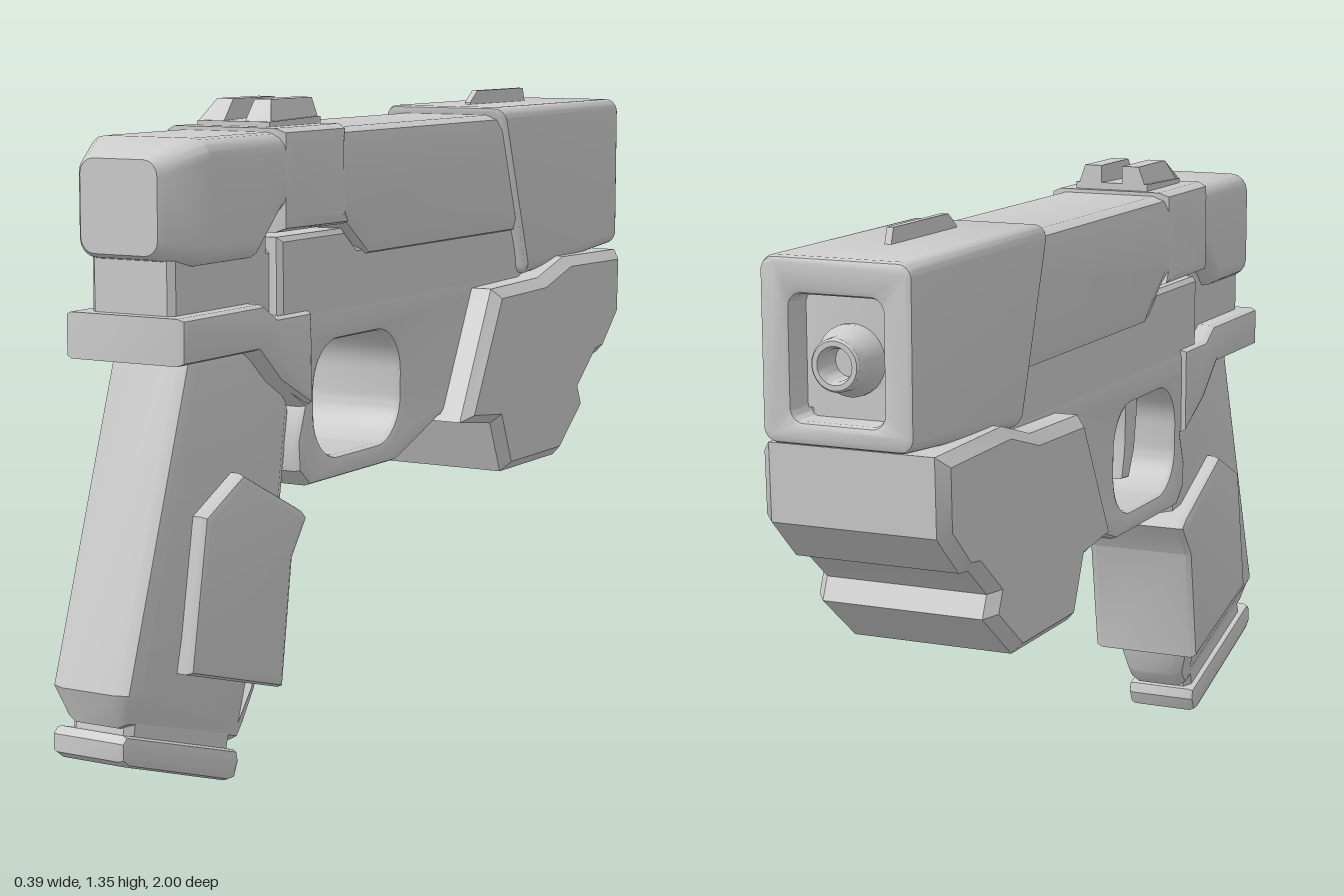
import * as THREE from 'three';
import { toCreasedNormals } from 'three/addons/utils/BufferGeometryUtils.js';

const material = new THREE.MeshStandardMaterial({ color: 0xcccccc });

function addMesh(group, name, geometry, crease = 0.6) {
  const mesh = new THREE.Mesh(toCreasedNormals(geometry, crease), material);
  mesh.name = name;
  group.add(mesh);
  return mesh;
}

// Moves every vertex by a rule
function reshape(geometry, rule) {
  const p = geometry.attributes.position;
  const v = new THREE.Vector3();
  for (let i = 0; i < p.count; i++) {
    v.fromBufferAttribute(p, i);
    rule(v);
    p.setXYZ(i, v.x, v.y, v.z);
  }
  return geometry;
}

// Side outline in [z, y], extruded across x with bevelled edges
function sideGeometry(points, half, bevel = 0, segments = 1, hole = null) {
  const shape = new THREE.Shape(points.map(([z, y]) => new THREE.Vector2(z, y)));
  if (hole) shape.holes.push(hole);
  const depth = 2 * (half - bevel);
  const geometry = new THREE.ExtrudeGeometry(shape, {
    depth, bevelEnabled: bevel > 0, bevelSize: bevel, bevelThickness: bevel,
    bevelOffset: -bevel, bevelSegments: segments, curveSegments: 8,
  });
  return geometry.translate(0, 0, -depth / 2).rotateY(-Math.PI / 2);
}

function roundedRect(path, x0, x1, y0, y1, r) {
  path.moveTo(x0 + r, y0);
  path.lineTo(x1 - r, y0);
  path.absarc(x1 - r, y0 + r, r, -Math.PI / 2, 0);
  path.lineTo(x1, y1 - r);
  path.absarc(x1 - r, y1 - r, r, 0, Math.PI / 2);
  path.lineTo(x0 + r, y1);
  path.absarc(x0 + r, y1 - r, r, Math.PI / 2, Math.PI);
  path.lineTo(x0, y0 + r);
  path.absarc(x0 + r, y0 + r, r, Math.PI, Math.PI * 1.5);
  return path;
}

// Loft through rounded rectangles [z, halfWidth, bottom, top, radius], ordered from +z to -z
function loft(sections) {
  const pos = [], index = [], n = 20;
  for (const [z, w, y0, y1, r] of sections) {
    for (let c = 0; c < 4; c++) {
      const cx = (c === 0 || c === 3 ? 1 : -1) * (w - r);
      const cy = c < 2 ? y1 - r : y0 + r;
      for (let k = 0; k < 5; k++) {
        const a = (c + k / 4) * Math.PI / 2;
        pos.push(cx + r * Math.cos(a), cy + r * Math.sin(a), z);
      }
    }
  }
  const last = (sections.length - 1) * n;
  for (let s = 0; s < last; s += n) {
    for (let i = 0; i < n; i++) {
      const j = (i + 1) % n;
      index.push(s + i, s + n + i, s + j, s + j, s + n + i, s + n + j);
    }
  }
  for (let i = 1; i < n - 1; i++) index.push(0, i, i + 1, last, last + i + 1, last + i);
  const geometry = new THREE.BufferGeometry();
  geometry.setAttribute('position', new THREE.Float32BufferAttribute(pos, 3));
  geometry.setIndex(index);
  geometry.computeVertexNormals();
  return geometry;
}

export function createModel() {
  const model = new THREE.Group();
  model.name = 'pistol';
  const side = (name, ...args) => addMesh(model, name, sideGeometry(...args));

  // Slide: tapered rear, long body, raised band and the narrower rail below
  addMesh(model, 'slideRear', loft([
    [0.876, 0.088, 1.07, 1.25, 0.03],
    [0.862, 0.1, 1.062, 1.257, 0.035],
    [0.775, 0.14, 1.045, 1.287, 0.04],
    [0.6, 0.14, 1.045, 1.287, 0.04],
    [0.515, 0.14, 1.125, 1.287, 0.04],
    [0.42, 0.14, 1.125, 1.287, 0.04],
  ]));
  side('slideBody', [[0.5, 1.287], [0.5, 1.09], [0.27, 1.09], [0.17, 1.015],
    [-0.93, 1.015], [-0.93, 1.287]], 0.14, 0.035, 2);
  side('slideBand', [[0.515, 1.295], [0.515, 1.09], [0.255, 1.09], [0.27, 1.12],
    [0.27, 1.295]], 0.148, 0.03, 2);
  side('slideRail', [[0.84, 1.1], [0.84, 0.9], [-0.93, 0.9], [-0.93, 1.06], [0.5, 1.06],
    [0.5, 1.1]], 0.095, 0.012);
  side('upperFrame', [[0.5, 1.08], [0.5, 0.9], [-0.6, 0.9], [-0.6, 1.04], [0.2, 1.04],
    [0.25, 1.08]], 0.122, 0.01);

  // Muzzle sleeve: open square front, slanted rear edge
  const section = roundedRect(new THREE.Shape(), -0.157, 0.157, 0.955, 1.305, 0.03);
  section.holes.push(roundedRect(new THREE.Path(), -0.095, 0.095, 1.0, 1.235, 0.025));
  const sleeve = new THREE.ExtrudeGeometry(section, {
    depth: 0.576, bevelSize: 0.012, bevelThickness: 0.012, bevelOffset: -0.012,
    bevelSegments: 2, curveSegments: 5,
  }).translate(0, 0, -0.983);
  addMesh(model, 'muzzleSleeve', reshape(sleeve, (v) => {
    if (v.z < -0.7) return;
    v.z -= (1.305 - v.y) * 0.38;
    if (v.y < 0.99) v.y -= 0.035;
  }));
  const barrel = [[0.068, 0.88], [0.068, 0.94], [0.052, 0.965], [0.05, 0.995], [0.046, 1.0],
    [0.036, 1.0], [0.03, 0.985], [0.03, 0.94], [0, 0.94]];
  const barrelGeometry = new THREE.LatheGeometry(barrel.map(([r, y]) => new THREE.Vector2(r, y)), 32);
  addMesh(model, 'barrel', barrelGeometry.rotateX(-Math.PI / 2).translate(0, 1.11, 0));

  // Frame with trigger guard
  const guardHole = roundedRect(new THREE.Path(), 0.02, 0.37, 0.613, 0.853, 0.095);
  side('frame', [[0.6, 0.925], [-0.6, 0.925], [-0.6, 0.7], [-0.27, 0.635], [-0.16, 0.635],
    [0.035, 0.565], [0.39, 0.565], [0.43, 0.6], [0.435, 0.66], [0.41, 0.73], [0.52, 0.795],
    [0.6, 0.865]], 0.125, 0.016, 2, guardHole);
  side('rearTang', [[0.866, 0.955], [0.58, 0.955], [0.53, 0.925], [0.4, 0.925], [0.4, 0.735],
    [0.52, 0.795], [0.6, 0.865], [0.866, 0.865]], 0.14, 0.018, 2);
  side('trigger', [[0.36, 0.87], [0.265, 0.87], [0.28, 0.79], [0.276, 0.71], [0.26, 0.645],
    [0.305, 0.64], [0.335, 0.7], [0.35, 0.78]], 0.04, 0.01, 2);

  // Wide cover beneath the barrel
  side('frontCover', [[-0.3, 0.907], [-0.53, 0.912], [-0.66, 0.95], [-0.945, 0.945],
    [-0.94, 0.79], [-0.85, 0.705], [-0.81, 0.7], [-0.73, 0.635], [-0.75, 0.59],
    [-0.62, 0.488], [-0.35, 0.488], [-0.3, 0.605], [-0.157, 0.625]], 0.195, 0.022);

  // Grip, drawn in at its foot
  const grip = sideGeometry([[0.78, 0.88], [0.995, 0.255], [0.97, 0.185], [0.585, 0.07],
    [0.555, 0.105], [0.54, 0.175], [0.44, 0.54], [0.41, 0.72], [0.45, 0.88]], 0.097, 0.036, 2);
  addMesh(model, 'grip', reshape(grip, (v) => {
    if (v.y - 0.3 * v.z < -0.055) v.x *= 0.8;
  }));
  side('gripPanel', [[0.646, 0.63], [0.43, 0.525], [0.408, 0.505], [0.465, 0.43],
    [0.505, 0.17], [0.835, 0.267], [0.78, 0.565]], 0.132, 0.018, 2);
  side('magazineNeck', [[0.95, 0.22], [0.6, 0.115], [0.62, 0.04], [0.965, 0.145]], 0.07, 0.015);
  side('magazineBase', [[0.985, 0.178], [0.605, 0.058], [0.6, 0.035], [0.615, 0.003],
    [0.64, 0.003], [0.98, 0.115], [1.0, 0.13], [1.0, 0.165]], 0.085, 0.014, 2);

  // Sights
  side('rearSightBase', [[0.48, 1.28], [0.48, 1.305], [0.285, 1.31], [0.285, 1.28]], 0.085);
  for (const s of [1, -1]) {
    const lug = sideGeometry([[0.48, 1.29], [0.475, 1.305], [0.44, 1.348], [0.285, 1.348],
      [0.285, 1.29]], 0.03);
    // Outer faces lean inward toward the top
    reshape(lug, (v) => {
      if (v.x * s > 0 && v.y > 1.32) v.x *= 0.3;
      v.x += s * 0.055;
    });
    addMesh(model, s > 0 ? 'rearSightLeft' : 'rearSightRight', lug);
  }
  side('frontSight', [[-0.51, 1.29], [-0.51, 1.31], [-0.545, 1.336], [-0.775, 1.336],
    [-0.79, 1.29]], 0.007);

  return model;
}
